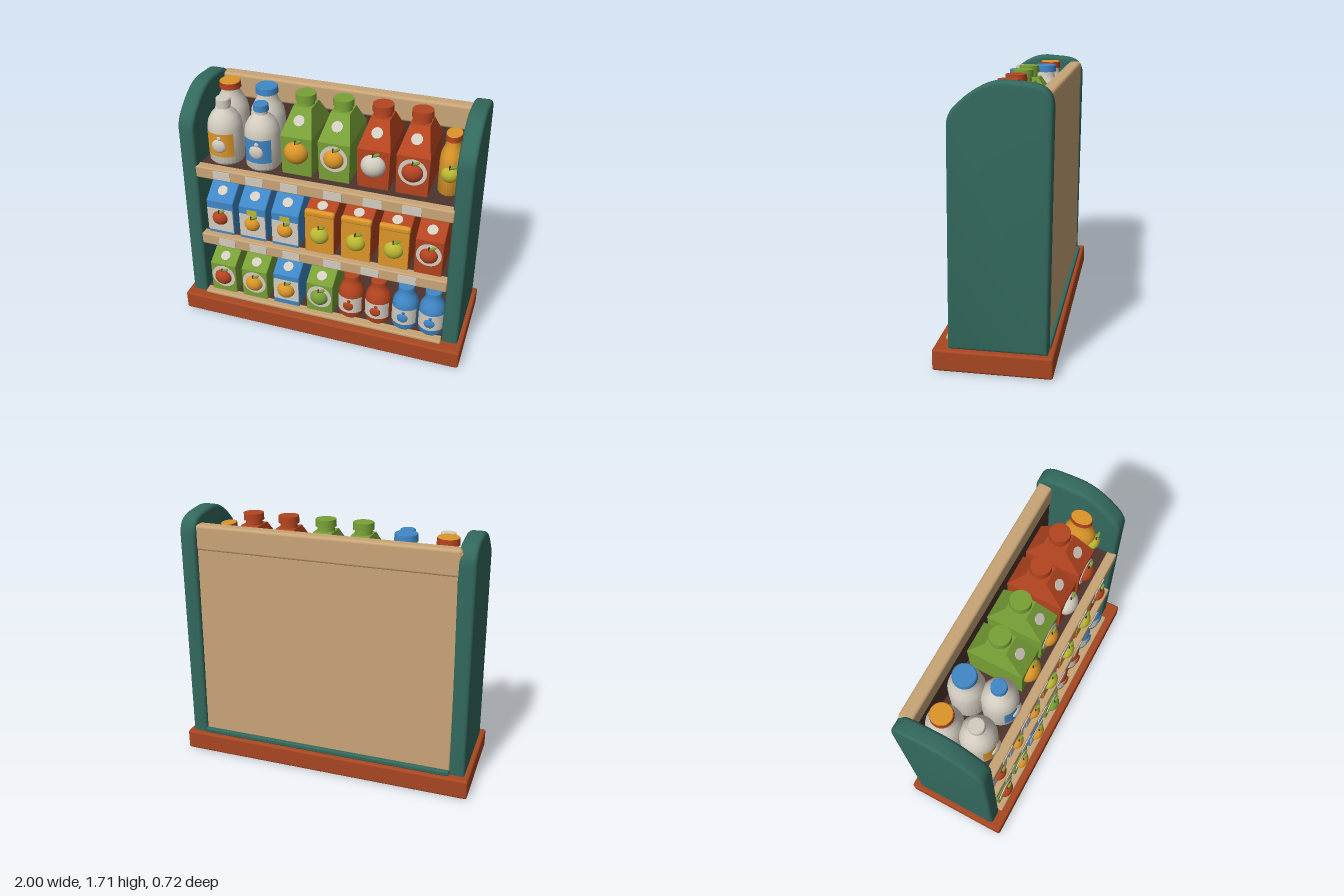
import * as THREE from 'three';
import { toCreasedNormals } from 'three/addons/utils/BufferGeometryUtils.js';
import { RoundedBoxGeometry } from 'three/addons/geometries/RoundedBoxGeometry.js';
import { ConvexGeometry } from 'three/addons/geometries/ConvexGeometry.js';

const material = (name, color) => {
  const m = new THREE.MeshStandardMaterial({ color });
  m.name = name;
  return m;
};
const rust = material('rust base', 0xa84722);
const teal = material('teal paint', 0x33695d);
const tan = material('tan wood', 0xc9a577);
const dark = material('dark interior', 0x4d342c);
const cream = material('cream', 0xd3ccc0);
const green = material('green', 0x78a036);
const blue = material('blue', 0x3f87c6);
const orange = material('orange', 0xdc9628);
const lime = material('lime yellow', 0xbcb832);
const red = material('red', 0xb4441f);

function add(parent, name, geometry, mat, x = 0, y = 0, z = 0) {
  const mesh = new THREE.Mesh(geometry, mat);
  mesh.name = name;
  mesh.position.set(x, y, z);
  parent.add(mesh);
  return mesh;
}
function group(parent, name, x = 0, y = 0, z = 0) {
  const g = new THREE.Group();
  g.name = name;
  g.position.set(x, y, z);
  parent.add(g);
  return g;
}
const box = (w, h, d, r = 0.012) => new RoundedBoxGeometry(w, h, d, 2, r);

// Extrudes a side profile, given as (z, y), along x with a rounded edge
function sideExtrude(shape, width, bevel) {
  const geo = new THREE.ExtrudeGeometry(shape, {
    depth: width - 2 * bevel, bevelEnabled: true, bevelThickness: bevel,
    bevelSize: bevel, bevelOffset: -bevel, bevelSegments: 3, curveSegments: 12,
  });
  geo.translate(0, 0, -(width - 2 * bevel) / 2);
  geo.rotateY(-Math.PI / 2);
  return toCreasedNormals(geo, 0.6);
}

// Thin disc facing the front, tilted back by an angle
function disc(parent, name, r, mat, x, y, z, facing = Math.PI / 2) {
  add(parent, name, new THREE.CylinderGeometry(r, r, 0.008, 24), mat, x, y, z).rotation.x = facing;
}

// Raised fruit with stem and leaf, optionally on a cream badge
function fruit(parent, mat, r, x, y, z, badge = 0) {
  const g = group(parent, 'fruit', x, y, z);
  if (badge) disc(g, 'fruitBadge', badge, cream, 0, 0, 0.002);
  add(g, 'fruitBody', new THREE.SphereGeometry(r, 20, 14), mat).scale.set(1, 0.95, 0.8);
  add(g, 'fruitStem', new THREE.CylinderGeometry(0.005, 0.006, 0.03, 6), dark, 0, r, 0.02);
  const leaf = add(g, 'fruitLeaf', new THREE.SphereGeometry(0.026, 10, 6), green, 0.024, r + 0.008, 0.022);
  leaf.scale.set(1, 0.4, 0.4);
  leaf.rotation.z = 0.5;
}

// Carton with a pitched roof and a top fold
function gableCarton(parent, name, { x, y, w, h, zf, d, mat, wall = 0.7 }) {
  const g = group(parent, name, x, y, zf - d / 2);
  const f = d / 2, hw = h * wall, hr = h * 0.92;
  const shape = new THREE.Shape([[-f, 0], [f, 0], [f, hw], [0.03, hr], [0.03, h], [-0.03, h], [-0.03, hr], [-f, hw]]
    .map(([a, b]) => new THREE.Vector2(a, b)));
  add(g, 'cartonBody', sideExtrude(shape, w, 0.008), mat);
  disc(g, 'roofSpot', 0.035, cream, 0, (hw + hr) / 2, (f + 0.03) / 2, Math.atan2(hr - hw, f - 0.03));
  return g;
}

// Tall carton tapering to a round neck and cap
function tallCarton(parent, x, mat, fruitMat, badge) {
  const g = group(parent, 'tallCarton', x, 1.18, 0);
  const pts = [];
  for (const [y, hw, z0, z1] of [[0, 0.1, -0.2, 0.165], [0.27, 0.105, -0.205, 0.17], [0.42, 0.062, -0.1, 0.04]])
    for (const s of [-1, 1]) for (const z of [z0, z1]) pts.push(new THREE.Vector3(s * hw, y, z));
  add(g, 'cartonBody', new ConvexGeometry(pts), mat);
  add(g, 'cartonNeck', new THREE.CylinderGeometry(0.052, 0.058, 0.05, 20), mat, 0, 0.435, -0.03);
  add(g, 'cartonCap', new THREE.CylinderGeometry(0.066, 0.068, 0.045, 20), mat, 0, 0.472, -0.03);
  const slope = Math.atan2(0.15, 0.13);
  disc(g, 'roofSpot', 0.036, cream, 0, 0.355, 0.098, slope);
  fruit(g, fruitMat, badge ? 0.068 : 0.08, 0, 0.165, 0.168, badge);
}

// Round bottle from a lathe profile, with cap and curved label
function bottle(parent, name, { x, y, z, r, h, mat, cap, capTop = cap, capR, label, mark, labelY, labelH, arc }) {
  const g = group(parent, name, x, y, z);
  const n = capR * 0.85;
  const profile = [[0, 0], [r * 0.88, 0], [r, r * 0.15], [r, h * 0.56], [r * 0.93, h * 0.66],
    [r * 0.72, h * 0.76], [n, h * 0.85], [n, h * 0.95], [0, h * 0.95]].map(([a, b]) => new THREE.Vector2(a, b));
  add(g, 'bottleBody', toCreasedNormals(new THREE.LatheGeometry(profile, 28), 0.7), mat);
  add(g, 'bottleCap', new THREE.CylinderGeometry(capR * 0.97, capR, h * 0.09, 20), cap, 0, h * 0.945, 0);
  add(g, 'capTop', new THREE.CylinderGeometry(capR * 0.9, capR * 0.97, h * 0.015, 20), capTop, 0, h * 0.9925, 0);
  if (!label) return g;
  add(g, 'bottleLabel', new THREE.CylinderGeometry(r + 0.005, r + 0.005, labelH, 20, 1, true, -arc / 2, arc), label, 0, labelY, 0);
  add(g, 'labelFruit', new THREE.SphereGeometry(r * 0.42, 16, 10), mark, 0, labelY - 0.005, r).scale.z = 0.4;
  add(g, 'labelLeaf', new THREE.SphereGeometry(r * 0.14, 8, 6), mark, 0.006, labelY + r * 0.45, r + 0.004).scale.z = 0.4;
  return g;
}

function buildCase(root) {
  add(root, 'base', box(2, 0.135, 0.72, 0.015), rust, 0, 0.0675, 0);
  // Side panels with a rounded, sloping top
  const s = new THREE.Shape();
  s.moveTo(-0.325, 0.13);
  s.lineTo(0.27, 0.13);
  s.lineTo(0.255, 1.46);
  s.bezierCurveTo(0.25, 1.55, 0.19, 1.58, 0.15, 1.62);
  s.bezierCurveTo(0.06, 1.69, 0.0, 1.71, -0.08, 1.71);
  s.lineTo(-0.2, 1.7);
  s.bezierCurveTo(-0.3, 1.69, -0.34, 1.65, -0.34, 1.56);
  s.closePath();
  const panel = sideExtrude(s, 0.11, 0.022);
  for (const side of [-1, 1]) {
    const m = add(root, side > 0 ? 'leftPanel' : 'rightPanel', panel, teal, side * 0.917, 0, side < 0 ? 0.018 : 0);
    m.rotation.z = side * 0.013;
    if (side < 0) m.scale.y = 0.982;
  }
  // Back board, top rail and dark lining
  add(root, 'backBoard', box(1.74, 1.48, 0.05), tan, 0, 0.88, -0.285);
  add(root, 'backRail', box(1.73, 0.17, 0.09, 0.02), tan, 0, 1.55, -0.27);
  add(root, 'backLining', new THREE.BoxGeometry(1.72, 1.34, 0.03), dark, 0, 0.81, -0.25);
  add(root, 'backSill', box(1.74, 0.035, 0.05, 0.01), teal, 0, 0.15, -0.31);
  // Shelves with tan front edges and blank price tags
  for (const [top, h, front] of [[0.16, 0.028, 0.31], [0.645, 0.085, 0.28], [1.18, 0.085, 0.272]]) {
    add(root, 'shelfBoard', new THREE.BoxGeometry(1.72, h * 0.8, front + 0.21), dark, 0, top - h * 0.5, (front - 0.27) / 2);
    add(root, 'shelfEdge', box(1.72, h, 0.065, 0.01), tan, 0, top - h / 2, front - 0.0325);
    if (h < 0.05) continue;
    for (const x of [-0.67, -0.44, -0.2, 0.09, 0.35, 0.6])
      add(root, 'priceTag', new THREE.BoxGeometry(0.12, 0.06, 0.008), cream, x, top - h / 2, front + 0.001);
  }
}

function buildTopShelf(root) {
  const milk = { y: 1.18, r: 0.115, mat: cream, labelY: 0.15, labelH: 0.165, arc: 1.7 };
  bottle(root, 'frontBottle', { ...milk, x: -0.7, z: 0.1, h: 0.44, cap: cream, capR: 0.05, label: orange, mark: cream });
  bottle(root, 'frontBottle', { ...milk, x: -0.44, z: 0.1, h: 0.44, cap: blue, capR: 0.05, label: blue, mark: cream });
  bottle(root, 'backBottle', { ...milk, x: -0.74, z: -0.1, h: 0.47, cap: red, capTop: orange, capR: 0.072 });
  bottle(root, 'backBottle', { ...milk, x: -0.48, z: -0.1, h: 0.47, cap: blue, capR: 0.075 });
  tallCarton(root, -0.185, green, orange, 0);
  tallCarton(root, 0.065, green, orange, 0.09);
  tallCarton(root, 0.32, red, cream, 0);
  tallCarton(root, 0.568, red, red, 0.09);
  const juice = bottle(root, 'juiceBottle', { x: 0.778, y: 1.18, z: 0.02, r: 0.075, h: 0.4, mat: orange, cap: red, capTop: orange, capR: 0.052 });
  juice.scale.z = 1.4;
  fruit(root, lime, 0.055, 0.785, 1.34, 0.115);
}

function buildMiddleShelf(root) {
  const base = { y: 0.645, h: 0.39, zf: 0.235, d: 0.34 };
  const f = base.d / 2;
  [[-0.727, red], [-0.49, orange], [-0.255, orange]].forEach(([x, mat], i) => {
    const g = gableCarton(root, 'blueCarton', { ...base, x, w: 0.195, mat: blue, wall: 0.65 });
    add(g, 'cartonLabel', new THREE.BoxGeometry(0.186, 0.175, 0.008), cream, 0, 0.11, f + 0.001);
    if (i) add(g, 'labelPatch', new THREE.BoxGeometry(0.07, 0.04, 0.008), lime, 0, 0.215, f + 0.001);
    fruit(g, mat, 0.056, 0, 0.13, f);
  });
  for (const x of [-0.012, 0.238, 0.492]) {
    const g = gableCarton(root, 'orangeCarton', { ...base, x, w: 0.205, mat: red, wall: 0.78 });
    add(g, 'cartonFront', new THREE.BoxGeometry(0.196, 0.29, 0.008), orange, 0, 0.15, f + 0.001);
    add(g, 'cartonFold', box(0.207, 0.05, 0.04, 0.018), orange, 0, 0.305, f - 0.012);
    fruit(g, lime, 0.066, 0, 0.145, f);
  }
  const g = gableCarton(root, 'redCarton', { ...base, x: 0.722, w: 0.185, h: 0.375, mat: red });
  fruit(g, red, 0.06, 0, 0.155, f, 0.083);
}

function buildBottomShelf(root) {
  const base = { y: 0.16, zf: 0.27, d: 0.3, w: 0.192 };
  for (const [x, mat, fruitMat, h] of [[-0.727, green, red, 0.33], [-0.49, green, orange, 0.33],
    [-0.25, blue, orange, 0.355], [-0.005, green, green, 0.33]]) {
    const g = gableCarton(root, 'smallCarton', { ...base, x, h, mat });
    if (mat === blue) add(g, 'cartonLabel', new THREE.BoxGeometry(0.184, 0.17, 0.008), cream, 0, 0.125, 0.151);
    fruit(g, fruitMat, 0.064, 0, 0.13, 0.15, mat === blue ? 0 : 0.088);
  }
  for (const [x, mat] of [[0.205, red], [0.396, red], [0.586, blue], [0.77, blue]])
    bottle(root, 'smallBottle', { x, y: 0.16, z: 0.19, r: 0.089, h: 0.33, mat, cap: mat, capR: 0.056,
      label: cream, mark: mat, labelY: 0.115, labelH: 0.125, arc: 2.2 });
}

export function createModel() {
  const root = new THREE.Group();
  root.name = 'drinksShelf';
  buildCase(root);
  buildTopShelf(root);
  buildMiddleShelf(root);
  buildBottomShelf(root);
  return root;
}
